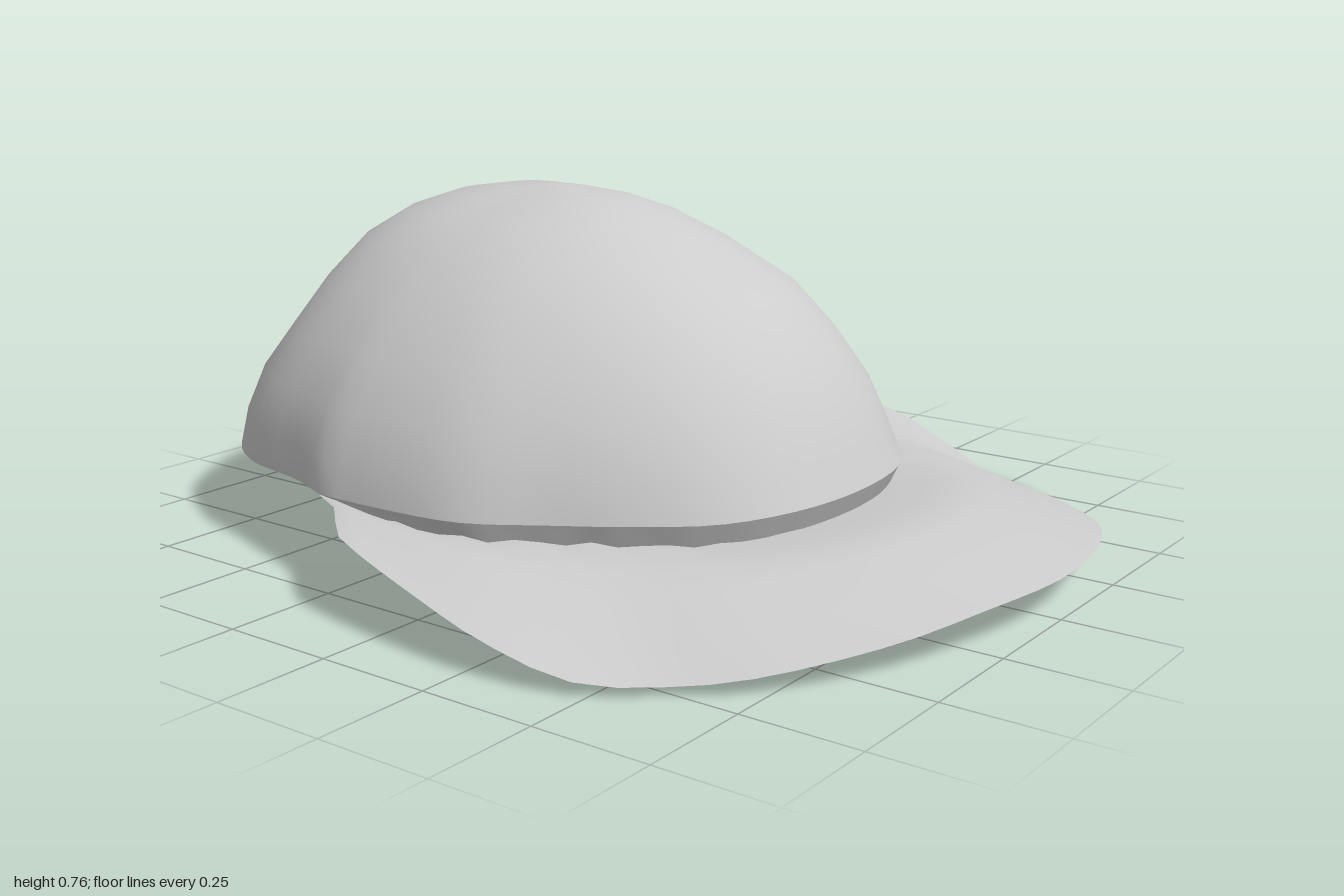
import * as THREE from 'three';

const V = (p) => new THREE.Vector3(...p);
const spline = (pts, n) => new THREE.CatmullRomCurve3(pts.map(V)).getSpacedPoints(n);

// Smooth surface through rows of points, listed from the top or inside outwards
function skin(rows, closed) {
  const n = rows[0].length, index = [];
  for (let r = 0; r < rows.length - 1; r++) {
    for (let c = 0; c < (closed ? n : n - 1); c++) {
      const a = r * n + c, d = r * n + (c + 1) % n;
      index.push(a, d, a + n, d, d + n, a + n);
    }
  }
  const g = new THREE.BufferGeometry().setFromPoints(rows.flat());
  g.setIndex(index);
  g.computeVertexNormals();
  return g;
}

export function createModel() {
  const felt = new THREE.MeshStandardMaterial({ color: 0xcccccc, side: THREE.DoubleSide });
  felt.name = 'light grey felt';
  const group = new THREE.Group();
  group.name = 'cap';

  // Lower edge of the crown: front arc from left to right, then round the back
  const frontRim = spline([
    [0.665, 0.18, -0.34], [0.67, 0.18, -0.18], [0.65, 0.18, 0], [0.56, 0.18, 0.18], [0.46, 0.18, 0.32],
    [0.35, 0.18, 0.44], [0.2, 0.185, 0.52], [0, 0.185, 0.545], [-0.2, 0.185, 0.52], [-0.35, 0.18, 0.44],
    [-0.46, 0.18, 0.32], [-0.56, 0.18, 0.17], [-0.65, 0.18, 0.02], [-0.675, 0.18, -0.15], [-0.68, 0.18, -0.34],
  ], 48);
  const backRim = spline([
    [-0.68, 0.18, -0.34], [-0.62, 0.175, -0.48], [-0.57, 0.17, -0.67], [-0.45, 0.165, -0.84], [-0.2, 0.155, -0.985],
    [0, 0.15, -1], [0.15, 0.155, -0.995], [0.4, 0.165, -0.92], [0.53, 0.165, -0.83], [0.6, 0.165, -0.7],
    [0.645, 0.165, -0.64], [0.655, 0.175, -0.46], [0.665, 0.18, -0.34],
  ], 36);
  const rim = [...frontRim, ...backRim.slice(1, -1)];
  const fade = frontRim.map((_, i) => Math.sin(Math.PI * i / 48));

  // Crown: height, then spread towards the front, back and sides
  const levels = [
    [0.76, 0, 0, 0], [0.752, 0.14, 0.18, 0.1], [0.735, 0.26, 0.33, 0.21], [0.7, 0.38, 0.47, 0.37],
    [0.64, 0.53, 0.6, 0.53], [0.55, 0.72, 0.7, 0.69], [0.45, 0.83, 0.79, 0.82],
    [0.35, 0.915, 0.895, 0.92], [0.25, 0.967, 0.96, 0.98], [0.17, 1, 1, 1],
  ];
  const apexZ = -0.28, last = levels.length - 1;
  const crownRows = levels.map(([y, front, back, side], i) => rim.map((p) => {
    const dz = p.z - apexZ;
    const k = dz * dz / (dz * dz + p.x * p.x);
    const s = (dz > 0 ? front : back) * k + side * (1 - k);
    // Smooth oval higher up, easing into the uneven edge below
    const e = dz > 0 ? 2 : 2.3;
    const oval = (Math.abs(p.x / 0.67) ** e + Math.abs(dz / (dz > 0 ? 0.825 : 0.72)) ** e) ** (-1 / e);
    const f = s * THREE.MathUtils.lerp(oval, 1, (i / last) ** 3);
    return new THREE.Vector3(p.x * f, i === last ? p.y : y, apexZ + dz * f);
  }));
  const crown = new THREE.Mesh(skin(crownRows, true), felt);
  crown.name = 'crown';
  group.add(crown);

  // Outer edge of the brim, drooping at the two front corners
  const edge = spline([
    [0.665, 0.178, -0.34], [0.72, 0.17, -0.25], [0.81, 0.16, -0.13], [0.86, 0.14, 0], [0.885, 0.115, 0.12],
    [0.85, 0.06, 0.3], [0.79, 0.004, 0.49], [0.74, 0.015, 0.6], [0.64, 0.03, 0.72], [0.5, 0.055, 0.84],
    [0.37, 0.075, 0.92], [0.2, 0.09, 0.98], [0, 0.09, 1], [-0.25, 0.088, 0.96], [-0.45, 0.065, 0.88],
    [-0.68, 0.035, 0.72], [-0.77, 0.022, 0.6], [-0.86, 0.03, 0.48], [-0.89, 0.07, 0.3], [-0.87, 0.115, 0.1],
    [-0.83, 0.155, -0.1], [-0.8, 0.165, -0.17], [-0.72, 0.172, -0.25], [-0.68, 0.178, -0.34],
  ], 48);

  // Uneven fold tucked under the crown where it meets the brim
  const tuck = frontRim.map((p, i) => {
    const s = 1 - 0.03 * fade[i];
    const wave = 0.008 * Math.sin(i * 2.4) * (1 - fade[i] ** 4);
    const drop = (0.05 + wave) * Math.sqrt(Math.max(fade[i], 0));
    return new THREE.Vector3(p.x * s, p.y - drop, apexZ + (p.z - apexZ) * s);
  });
  const fold = new THREE.Mesh(skin([frontRim, tuck], false), felt);
  fold.name = 'crownFold';
  group.add(fold);

  // Brim: out of the hollow beside the fold, over a soft crest, down to the edge
  const between = (t, sag) => frontRim.map((p, i) => {
    const q = p.clone().lerp(edge[i], t);
    q.y -= sag * fade[i];
    return q;
  });
  const brimRows = [tuck, between(0.15, 0.026), between(0.3, 0.008), between(0.45, 0), between(0.72, 0), edge];
  const brim = new THREE.Mesh(skin(brimRows, false), felt);
  brim.name = 'brim';
  group.add(brim);

  return group;
}
